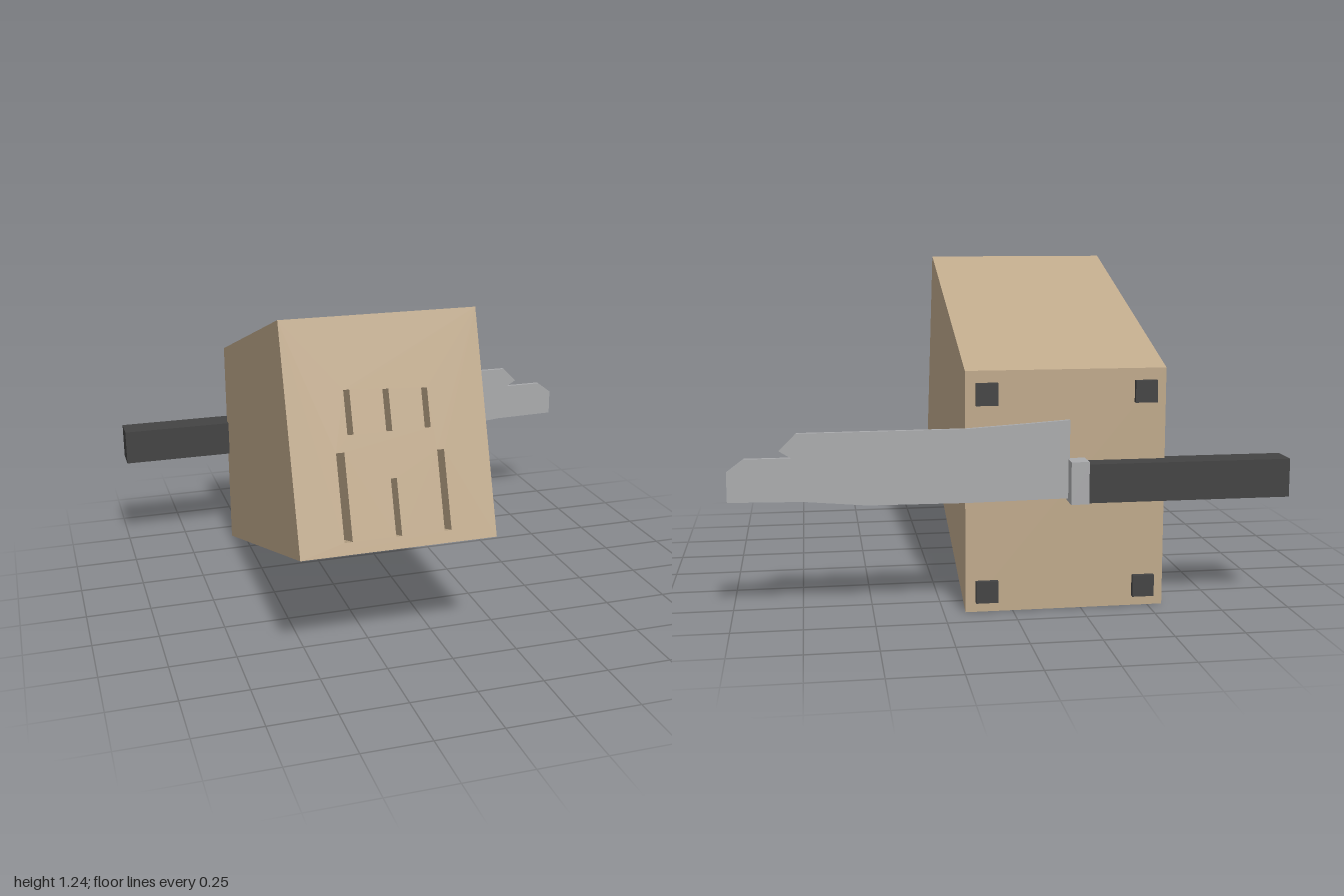
import * as THREE from 'three';

const wood = new THREE.MeshStandardMaterial({ name: 'wood', color: 0xbfa98b });
const steel = new THREE.MeshStandardMaterial({ name: 'steel', color: 0xaaabad });
const black = new THREE.MeshStandardMaterial({ name: 'blackPlastic', color: 0x434343 });

// Block side profile
const FRONT_Z = 0.72, FRONT_Y = 0.445, BACK_Z = -0.64, LEFT = 0.172, RIGHT = -0.555;
const TILT = Math.atan2(0.26, 0.79);
const FACE = Math.hypot(0.26, 0.79);
const PANEL = 0.02; // solid wood behind the slots

function addMesh(parent, name, geometry, material) {
  const mesh = new THREE.Mesh(geometry, material);
  mesh.name = name;
  parent.add(mesh);
  return mesh;
}

// Box given by its limits on each axis
function addBox(parent, name, material, [x0, x1], [y0, y1], [z0, z1]) {
  const mesh = addMesh(parent, name, new THREE.BoxGeometry(x1 - x0, y1 - y0, z1 - z0), material);
  mesh.position.set((x0 + x1) / 2, (y0 + y1) / 2, (z0 + z1) / 2);
  return mesh;
}

function rectangle(path, x0, x1, y0, y1) {
  path.moveTo(x0, y0);
  path.lineTo(x1, y0);
  path.lineTo(x1, y1);
  path.lineTo(x0, y1);
  path.closePath();
  return path;
}

// Tilted block with deep slots; its rear end is cut off upright
function blockGeometry() {
  const shape = rectangle(new THREE.Shape(), RIGHT, LEFT, 0, FACE);
  const slots = [ // centre x, width, bottom y, top y
    [-0.335, 0.022, 0.84, 0.99], [-0.193, 0.022, 0.84, 0.982], [-0.05, 0.022, 0.84, 0.975],
    [-0.378, 0.03, 0.487, 0.784], [-0.193, 0.022, 0.487, 0.682], [-0.01, 0.026, 0.487, 0.762],
  ];
  for (const [x, w, y0, y1] of slots) {
    const up = (y) => (y - FRONT_Y) / Math.cos(TILT);
    shape.holes.push(rectangle(new THREE.Path(), x - w / 2, x + w / 2, up(y0), up(y1)));
  }
  const geometry = new THREE.ExtrudeGeometry(shape, { depth: 1, bevelEnabled: false });
  const p = geometry.attributes.position;
  for (let i = 0; i < p.count; i++) {
    const run = BACK_Z + PANEL - FRONT_Z + p.getY(i) * Math.sin(TILT);
    p.setZ(i, p.getZ(i) > 0.5 ? 0 : run / Math.cos(TILT));
  }
  geometry.rotateX(-TILT).translate(0, FRONT_Y, FRONT_Z);
  geometry.computeVertexNormals();
  return geometry;
}

// Solid panel closing the rear of the block
function panelGeometry() {
  const slope = Math.tan(TILT), z = BACK_Z + PANEL;
  const bottom = FRONT_Y - (FRONT_Z - z) * slope;
  const top = 1.235 - (0.46 - z) * slope;
  const side = new THREE.Shape([
    new THREE.Vector2(-z, bottom), new THREE.Vector2(-BACK_Z, bottom - PANEL * slope),
    new THREE.Vector2(-BACK_Z, top - PANEL * slope), new THREE.Vector2(-z, top),
  ]);
  return new THREE.ExtrudeGeometry(side, { depth: LEFT - RIGHT, bevelEnabled: false })
    .rotateY(Math.PI / 2).translate(RIGHT, 0, 0);
}

// Blade outline with the notch near its tip
function bladeGeometry() {
  const outline = [
    [-0.2, 0.412], [0.17, 0.407], [0.52, 0.41], [0.74, 0.43], [1, 0.435], [1, 0.54], [0.94, 0.585],
    [0.78, 0.585], [0.82, 0.61], [0.76, 0.67], [0.17, 0.672], [0, 0.682], [-0.2, 0.695],
  ].map(([x, y]) => new THREE.Vector2(x, y));
  return new THREE.ExtrudeGeometry(new THREE.Shape(outline), { depth: 0.016, bevelEnabled: false })
    .translate(0, 0, -0.668);
}

export function createModel() {
  const model = new THREE.Group();
  model.name = 'knifeBlock';

  const block = new THREE.Group();
  block.name = 'block';
  addMesh(block, 'slottedBody', blockGeometry(), wood);
  addMesh(block, 'backPanel', panelGeometry(), wood);

  // Four feet on the upright rear face
  for (const x of [-0.48, 0.095]) {
    for (const y of [0.073, 0.79]) {
      addBox(block, 'foot', black, [x - 0.04, x + 0.04], [y - 0.04, y + 0.04], [-0.658, -0.635]);
    }
  }

  const knife = new THREE.Group();
  knife.name = 'knife';
  addMesh(knife, 'blade', bladeGeometry(), steel);
  addBox(knife, 'bolster', steel, [-0.26, -0.195], [0.4, 0.553], [-0.722, -0.602]);
  addBox(knife, 'handle', black, [-1, -0.26], [0.403, 0.543], [-0.718, -0.606]);

  model.add(block, knife);
  return model;
}
